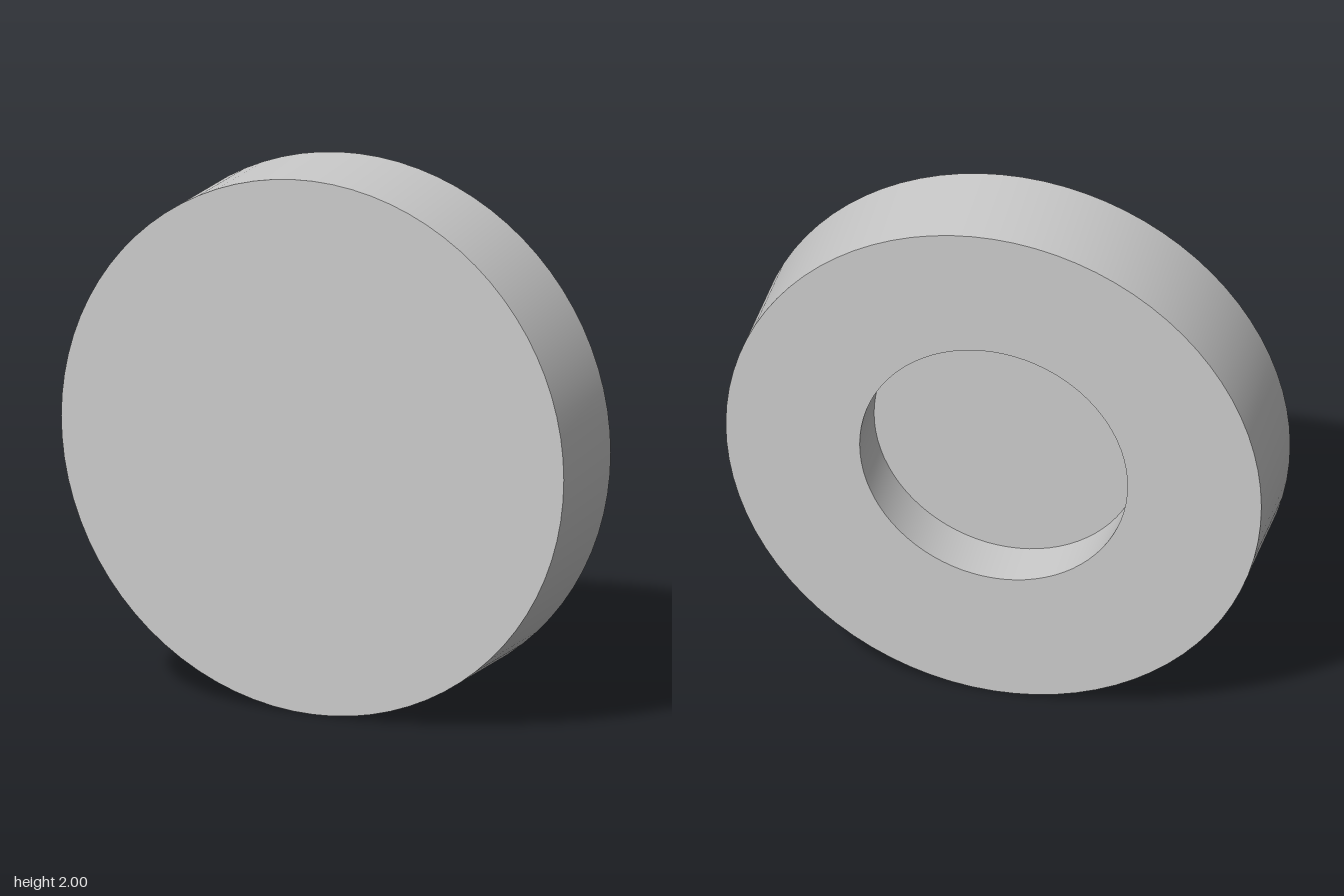
import * as THREE from 'three';
import { toCreasedNormals } from 'three/addons/utils/BufferGeometryUtils.js';

const RADIUS = 1, HALF_DEPTH = 0.2;
const RECESS_RADIUS = 0.5, RECESS_FLOOR = 0;

export function createModel() {
  const group = new THREE.Group();
  group.name = 'recessedDisc';

  // Half section as (radius, depth): recess floor, recess wall, back ring, rim, front face
  const profile = [
    [0, RECESS_FLOOR],
    [RECESS_RADIUS, RECESS_FLOOR],
    [RECESS_RADIUS, -HALF_DEPTH],
    [RADIUS, -HALF_DEPTH],
    [RADIUS, HALF_DEPTH],
    [0, HALF_DEPTH],
  ].map(([r, d]) => new THREE.Vector2(r, d));

  // Spin the section, then turn its axis to face +z
  const geometry = toCreasedNormals(new THREE.LatheGeometry(profile, 80), Math.PI / 6);
  geometry.rotateX(Math.PI / 2);

  const disc = new THREE.Mesh(geometry, new THREE.MeshStandardMaterial({ color: 0xcccccc }));
  disc.name = 'disc';
  disc.position.y = RADIUS;
  group.add(disc);
  return group;
}
